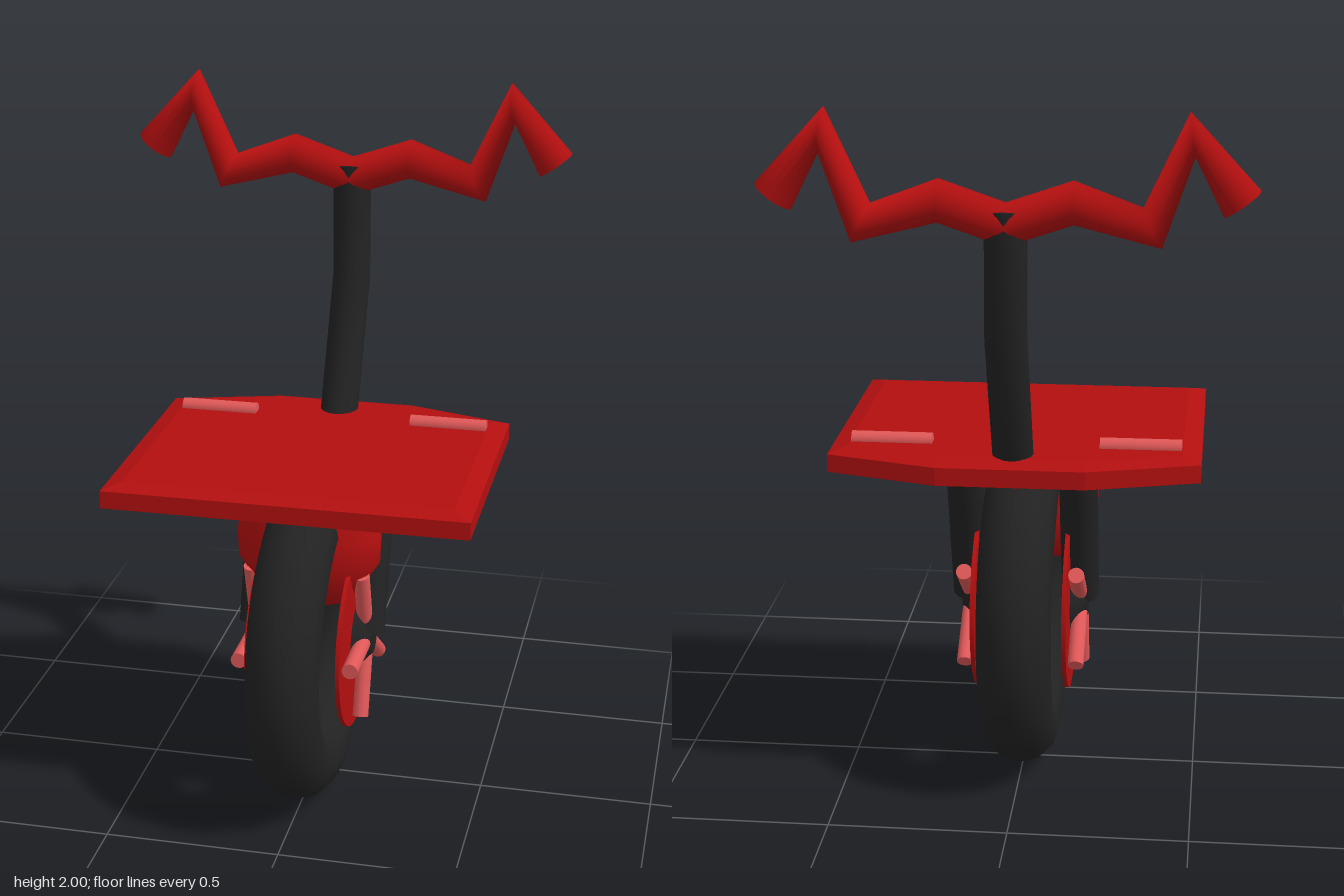
import * as THREE from 'three';

const red = new THREE.MeshStandardMaterial({ color: 0xb30f0f });
red.name = 'red paint';
const black = new THREE.MeshStandardMaterial({ color: 0x222222 });
black.name = 'black rubber';
const pink = new THREE.MeshStandardMaterial({ color: 0xe05858 });
pink.name = 'light red';

const AXLE = new THREE.Vector3(0, 0.49, 0.058);

// Path with one ring at each corner, so bends stay angular.
class CornerPath extends THREE.Curve {
  constructor(points) {
    super();
    this.points = points.map((p) => new THREE.Vector3(...p));
  }
  index(u) { return Math.round(u * (this.points.length - 1)); }
  getPointAt(u, target = new THREE.Vector3()) {
    return target.copy(this.points[this.index(u)]);
  }
  getTangentAt(u, target = new THREE.Vector3()) {
    const i = this.index(u), p = this.points, last = p.length - 1;
    target.set(0, 0, 0);
    if (i > 0) target.add(p[i].clone().sub(p[i - 1]).normalize());
    if (i < last) target.add(p[i + 1].clone().sub(p[i]).normalize());
    return target.normalize();
  }
}

function add(parent, name, geometry, material, x = 0, y = 0, z = 0) {
  const mesh = new THREE.Mesh(geometry, material);
  mesh.name = name;
  mesh.position.set(x, y, z);
  parent.add(mesh);
  return mesh;
}

// Straight round bar between two points.
function rod(parent, name, a, b, radius, material) {
  const from = new THREE.Vector3(...a), to = new THREE.Vector3(...b);
  const dir = to.clone().sub(from);
  const mesh = add(parent, name, new THREE.CylinderGeometry(radius, radius, dir.length(), 16), material);
  mesh.position.copy(from).add(to).multiplyScalar(0.5);
  mesh.quaternion.setFromUnitVectors(new THREE.Vector3(0, 1, 0), dir.normalize());
  return mesh;
}

// Bent round bar with flat caps.
function bentBar(parent, name, points, radius, material) {
  const group = new THREE.Group();
  group.name = name;
  parent.add(group);
  const path = new CornerPath(points);
  add(group, name + 'Tube', new THREE.TubeGeometry(path, points.length - 1, radius, 16), material);
  for (const u of [0, 1]) {
    const cap = add(group, name + 'Cap', new THREE.CircleGeometry(radius, 16), material);
    cap.position.copy(path.getPointAt(u));
    cap.quaternion.setFromUnitVectors(new THREE.Vector3(0, 0, 1), path.getTangentAt(u).multiplyScalar(u ? 1 : -1));
  }
}

export function createModel() {
  const model = new THREE.Group();
  model.name = 'unicycle';

  // Tyre
  const tyre = add(model, 'tyre', new THREE.TorusGeometry(0.382, 0.105, 12, 64), black);
  tyre.position.copy(AXLE);
  tyre.rotation.y = Math.PI / 2;

  // Housing over the wheel, an oval bowl
  const profile = [[0, 0.6], [0.12, 0.62], [0.165, 0.68], [0.205, 0.74], [0.208, 0.82], [0.185, 0.9], [0.17, 0.955], [0, 0.955]];
  const housing = add(model, 'housing', new THREE.LatheGeometry(profile.map((p) => new THREE.Vector2(...p)), 32), red, 0, 0, 0.09);
  housing.scale.z = 0.59;

  // Wheel sides: disc, hub, spokes and fork leg
  for (const s of [1, -1]) {
    const side = new THREE.Group();
    side.name = s > 0 ? 'leftWheelSide' : 'rightWheelSide';
    side.position.copy(AXLE);
    model.add(side);

    add(side, 'disc', new THREE.CylinderGeometry(0.265, 0.265, 0.012, 48), red, s * 0.13).rotation.z = Math.PI / 2;
    const hub = add(side, 'hub', new THREE.CylinderGeometry(0.05, 0.11, 0.05, 20), black, s * 0.158);
    hub.rotation.z = -s * Math.PI / 2;
    for (let i = 0; i < 5; i++) {
      const a = (i * Math.PI * 2) / 5;
      rod(side, 'spoke', [s * 0.16, 0, 0], [s * 0.16, 0.235 * Math.sin(a), 0.235 * Math.cos(a)], 0.023, pink);
    }
    rod(side, 'forkLeg', [s * 0.16, 0.015, 0], [s * 0.16, 0.47, -0.15], 0.055, black);
  }

  // Deck with chamfered rim
  const bevel = 0.05;
  const outline = [[-0.457, -0.375], [0.457, -0.375], [0.457, 0.292], [0.193, 0.37], [-0.193, 0.37], [-0.457, 0.292]];
  const deckGeometry = new THREE.ExtrudeGeometry(new THREE.Shape(outline.map((p) => new THREE.Vector2(...p))), {
    depth: 0.05, bevelEnabled: true, bevelSize: bevel, bevelThickness: 0.015, bevelSegments: 1,
  });
  deckGeometry.rotateX(-Math.PI / 2);
  add(model, 'deck', deckGeometry, red, 0, 0.98, 0);

  // Foot bars on the deck
  for (const s of [1, -1]) rod(model, 'footBar', [s * 0.23, 1.048, -0.233], [s * 0.453, 1.048, -0.233], 0.022, pink);

  // Steering stem
  bentBar(model, 'stem', [[0, 1.0, -0.3], [0, 1.4, -0.49], [0, 1.745, -0.49]], 0.056, black);

  // Zigzag handlebar, mirrored about the stem
  const half = [[0.595, 1.77], [0.468, 1.942], [0.372, 1.704], [0.173, 1.765]];
  const bar = [...half.map(([x, y]) => [-x, y, -0.49]), [0, 1.706, -0.49], ...half.reverse().map(([x, y]) => [x, y, -0.49])];
  bentBar(model, 'handlebar', bar, 0.057, red);

  return model;
}
